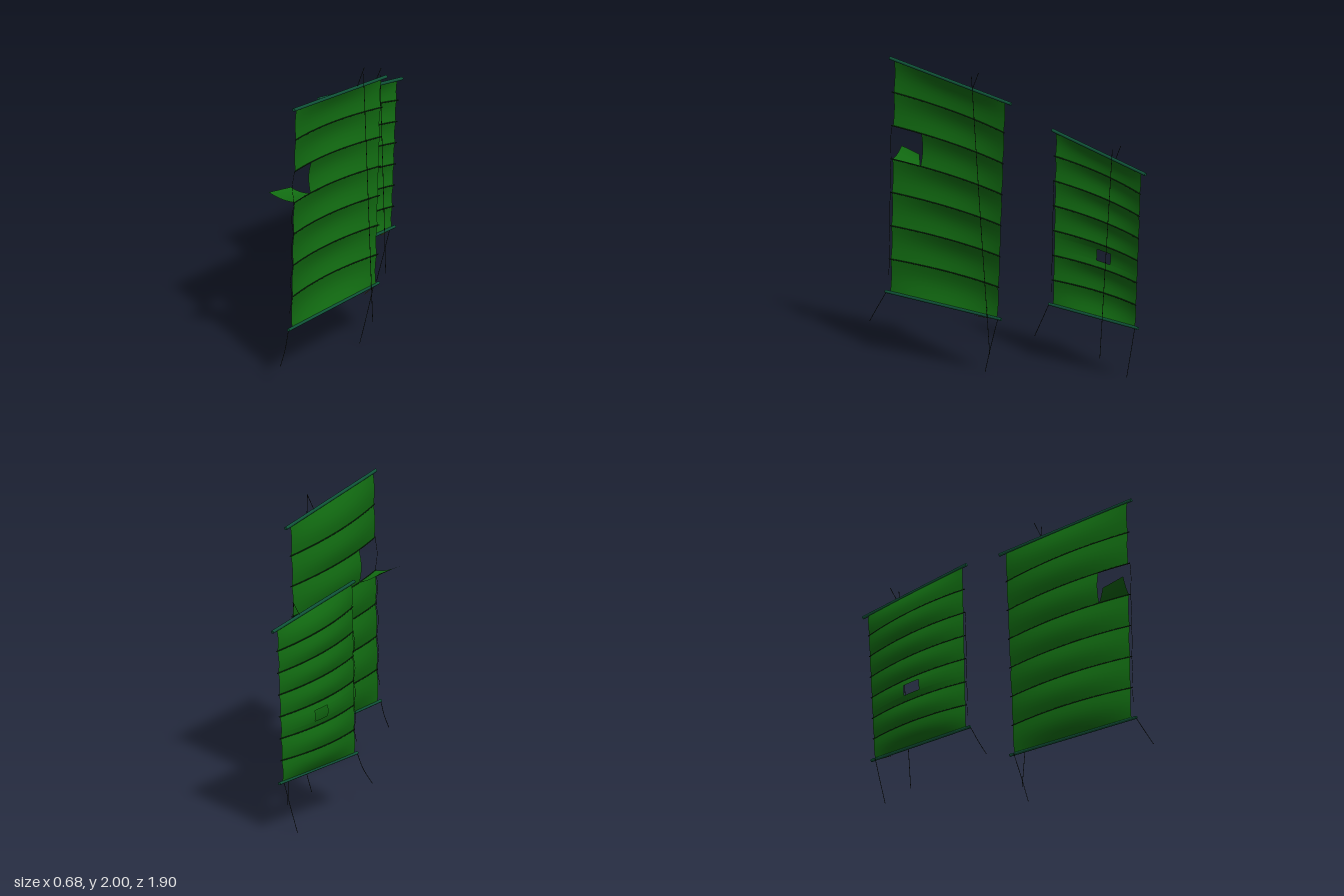
import * as THREE from 'three';

const mat = (color, side = THREE.FrontSide) => new THREE.MeshStandardMaterial({ color, side });
const V = (p) => new THREE.Vector3(...p);
const clothMat = mat(0x116a11, THREE.DoubleSide);
const spruceMat = mat(0x0f5238);
const ropeMat = mat(0x14180f);
const battenMat = mat(0x0a2a0c);
const patchMat = mat(0x6b5a14, THREE.DoubleSide);

const PANELS = 7;
const LEE = new THREE.Vector3(-0.86, 0, -0.51); // direction the cloth bellies towards

function add(group, name, geometry, material) {
  const mesh = new THREE.Mesh(geometry, material);
  mesh.name = name;
  group.add(mesh);
}

// Round line through points, with capped ends for spars
function tube(group, name, points, radius, material, sides = 5, segments = 12) {
  const curve = new THREE.CatmullRomCurve3(points);
  add(group, name, new THREE.TubeGeometry(curve, segments, radius, sides), material);
}

function spar(group, name, a, b, radius) {
  const from = V(a), to = V(b), dir = to.clone().sub(from);
  const g = new THREE.CylinderGeometry(radius, radius, dir.length(), 10);
  g.applyQuaternion(new THREE.Quaternion().setFromUnitVectors(new THREE.Vector3(0, 1, 0), dir.normalize()));
  const mid = from.add(to).multiplyScalar(0.5);
  g.translate(mid.x, mid.y, mid.z);
  add(group, name, g, spruceMat);
}

// Sheet of quads from a function of (u, v); cells for which skip is true stay open
function sheet(us, vs, point, skip = () => false) {
  const pos = [], index = [], n = us.length;
  for (const v of vs) for (const u of us) pos.push(...point(u, v).toArray());
  for (let j = 0; j < vs.length - 1; j++) {
    for (let i = 0; i < n - 1; i++) {
      if (skip((us[i] + us[i + 1]) / 2, (vs[j] + vs[j + 1]) / 2)) continue;
      const a = j * n + i, b = a + n;
      index.push(a, b, a + 1, a + 1, b, b + 1);
    }
  }
  const g = new THREE.BufferGeometry();
  g.setAttribute('position', new THREE.Float32BufferAttribute(pos, 3));
  g.setIndex(index);
  g.computeVertexNormals();
  return g;
}

// Even steps from 0 to 1, plus extra cuts along an opening
const steps = (count, extra = []) =>
  [...new Set([...Array.from({ length: count + 1 }, (_, i) => i / count), ...extra])].sort((a, b) => a - b);

function makeSail(s) {
  const group = new THREE.Group();
  group.name = s.name;
  const [topAft, topFore, botAft, botFore] = s.corners.map(V);

  // Point on the straight-sided sail plus its belly; row counts panels from the top
  const point = (u, row) => {
    const t = row / PANELS;
    const p = topAft.clone().lerp(topFore, u).lerp(botAft.clone().lerp(botFore, u), t);
    const i = Math.min(Math.floor(row), PANELS - 1), f = row - i;
    const camber = (k) => (k === 0 || k === PANELS ? 0 : s.belly);
    const depth = (camber(i) * (1 - f) + camber(i + 1) * f) * 4 * u * (1 - u);
    const billow = s.billow * Math.sin(Math.PI * f) * (0.4 + 0.6 * Math.sin(Math.PI * Math.min(1, Math.max(0, u))));
    return p.addScaledVector(LEE, depth + billow);
  };

  // Cloth panels, one of them with an opening
  const o = s.opening;
  for (let k = 0; k < PANELS; k++) {
    const open = k === o.panel;
    const us = steps(20, open ? [o.u0, o.u1] : []), vs = steps(8, open ? [o.v0, o.v1] : []);
    const skip = (u, v) => open && u > o.u0 && u < o.u1 && v > o.v0 && v < o.v1;
    add(group, 'clothPanel', sheet(us, vs, (u, v) => point(u, k + v), skip), clothMat);
  }

  // Battens following the belly between panels
  for (let k = 1; k < PANELS; k++) {
    const pts = steps(12).map((t) => point(-0.015 + t * 1.03, k));
    tube(group, 'batten', pts, 0.004, battenMat, 5, 24);
  }

  spar(group, 'yard', ...s.yard, 0.011);
  spar(group, 'boom', ...s.boom, 0.01);
  for (const r of s.ropes) tube(group, r[0], r.slice(1).map(V), 0.002, ropeMat);

  // Thin leech line wandering past the aft batten ends
  const leech = [];
  for (let r = 2; r <= 6.5; r += 0.5) {
    leech.push(point(-0.012 - (r % 1 ? 0.012 : 0), r));
  }
  tube(group, 'leechLine', leech, 0.0014, ropeMat, 4, 36);

  // Small tack patch lying beside the boom
  const [a, b, c] = s.patch.map(V);
  add(group, 'tackPatch', sheet([0, 1], [0, 1], (u, v) => a.clone().lerp(b.clone().lerp(c, u), v)), patchMat);
  return { group, point };
}

export function createModel() {
  const model = new THREE.Group();
  model.name = 'battenedSails';

  const main = makeSail({
    name: 'mainSail',
    corners: [[-0.155, 1.975, 0.775], [0.305, 1.838, -0.02], [-0.18, 0.413, 0.805], [0.275, 0.387, 0.035]],
    belly: 0.042, billow: 0.022,
    yard: [[-0.17, 1.978, 0.805], [0.33, 1.83, -0.065]],
    boom: [[-0.2, 0.415, 0.84], [0.29, 0.383, 0.005]],
    opening: { panel: 2, u0: 0, u1: 0.23, v0: 0, v1: 1 },
    ropes: [
      ['halyard', [0.215, 1.975, 0.212], [0.238, 1.05, 0.15], [0.26, 0.14, 0.085]],
      ['yardSling', [0.215, 2.0, 0.165], [0.175, 1.885, 0.21]],
      ['sheetLine', [-0.2, 0.41, 0.835], [-0.215, 0.3, 0.897], [-0.24, 0.203, 0.95]],
      ['tackLine', [0.262, 0.385, 0.03], [0.222, 0.19, 0.082], [0.18, 0, 0.128]],
    ],
    patch: [[0.28, 0.378, 0.025], [0.22, 0.376, 0.15], [0.22, 0.386, 0.195]],
  });

  const fore = makeSail({
    name: 'foreSail',
    corners: [[-0.12, 1.543, -0.287], [0.305, 1.405, -0.91], [-0.135, 0.383, -0.265], [0.272, 0.36, -0.865]],
    belly: 0.042, billow: 0.018,
    yard: [[-0.135, 1.548, -0.263], [0.33, 1.395, -0.945]],
    boom: [[-0.152, 0.385, -0.238], [0.29, 0.358, -0.89]],
    opening: { panel: 4, u0: 0.45, u1: 0.615, v0: 0.28, v1: 0.74 },
    ropes: [
      ['halyard', [0.215, 1.525, -0.71], [0.238, 0.83, -0.672], [0.26, 0.14, -0.635]],
      ['yardSling', [0.215, 1.55, -0.765], [0.175, 1.45, -0.725]],
      ['sheetLine', [-0.15, 0.385, -0.238], [-0.185, 0.26, -0.182], [-0.24, 0.147, -0.13]],
      ['tackLine', [0.262, 0.36, -0.865], [0.222, 0.18, -0.832], [0.18, 0, -0.798]],
    ],
    patch: [[0.275, 0.353, -0.86], [0.215, 0.353, -0.77], [0.215, 0.36, -0.735]],
  });

  // Torn cloth flap blown to leeward, hinged on the batten below the tear
  const aft = V([-0.338, 1.355, 0.755]), inner = V([-0.21, 1.335, 0.62]);
  const flap = sheet(steps(6), steps(6), (u, v) => {
    const p = main.point(u * 0.23, 3).lerp(aft.clone().lerp(inner, u), v);
    p.y -= 0.012 * Math.sin(Math.PI * v);
    return p;
  });
  add(main.group, 'tornFlap', flap, clothMat);

  model.add(main.group, fore.group);
  return model;
}
